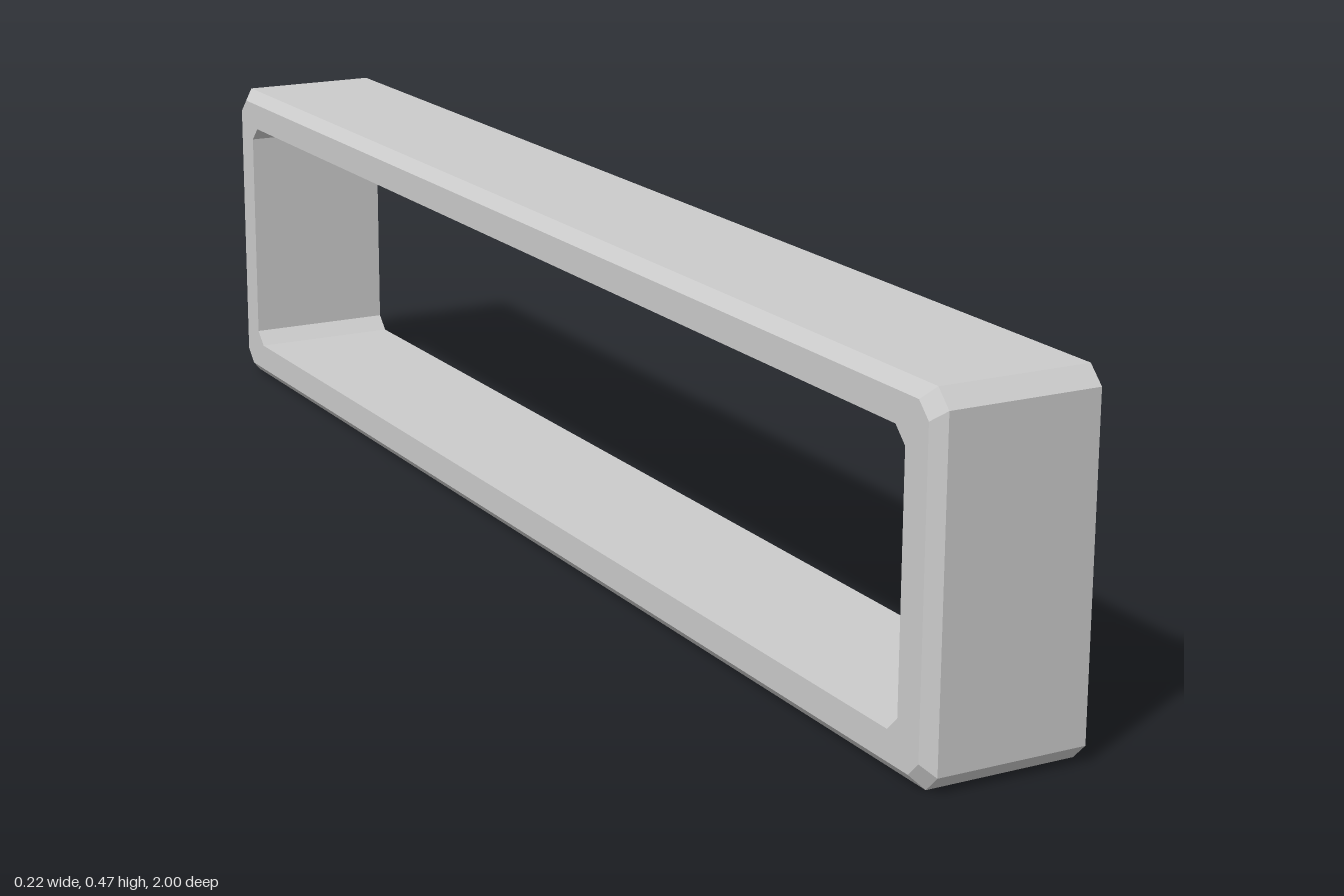
import * as THREE from 'three';

const OPEN_X = 0.108, CY = 0.2335;

// Rectangle with chamfered corners in the plane at x; half height hy, half length hz, chamfer c
function loop(x, hy, hz, c) {
  return [
    [hy, -hz + c], [hy, hz - c], [hy - c, hz], [-hy + c, hz],
    [-hy, hz - c], [-hy, -hz + c], [-hy + c, -hz], [hy - c, -hz],
  ].map(([y, z]) => [x, CY + y, z]);
}

// Flat-shaded band of quads joining two loops
function band(name, a, b, material) {
  const pos = [];
  a.forEach((p, i) => {
    const j = (i + 1) % a.length;
    pos.push(...p, ...b[i], ...b[j], ...p, ...b[j], ...a[j]);
  });
  const geometry = new THREE.BufferGeometry();
  geometry.setAttribute('position', new THREE.Float32BufferAttribute(pos, 3));
  geometry.computeVertexNormals();
  const mesh = new THREE.Mesh(geometry, material);
  mesh.name = name;
  return mesh;
}

export function createModel() {
  const group = new THREE.Group();
  group.name = 'frame';
  const material = new THREE.MeshStandardMaterial({
    color: 0xcccccc, flatShading: true, side: THREE.DoubleSide,
  });

  // Hollow frame, open on its +x side: outer wall, bevel, face ring, inner wall
  const loops = [
    loop(OPEN_X, CY, 1, 0.022),
    loop(-0.093, CY, 1, 0.022),
    loop(-OPEN_X, CY - 0.016, 0.984, 0.02),
    loop(-OPEN_X, CY - 0.055, 0.94, 0.02),
    loop(OPEN_X, CY - 0.055, 0.94, 0.02),
  ];
  ['outerWall', 'bevel', 'faceRing', 'innerWall'].forEach((name, i) => {
    group.add(band(name, loops[i], loops[i + 1], material));
  });
  return group;
}
